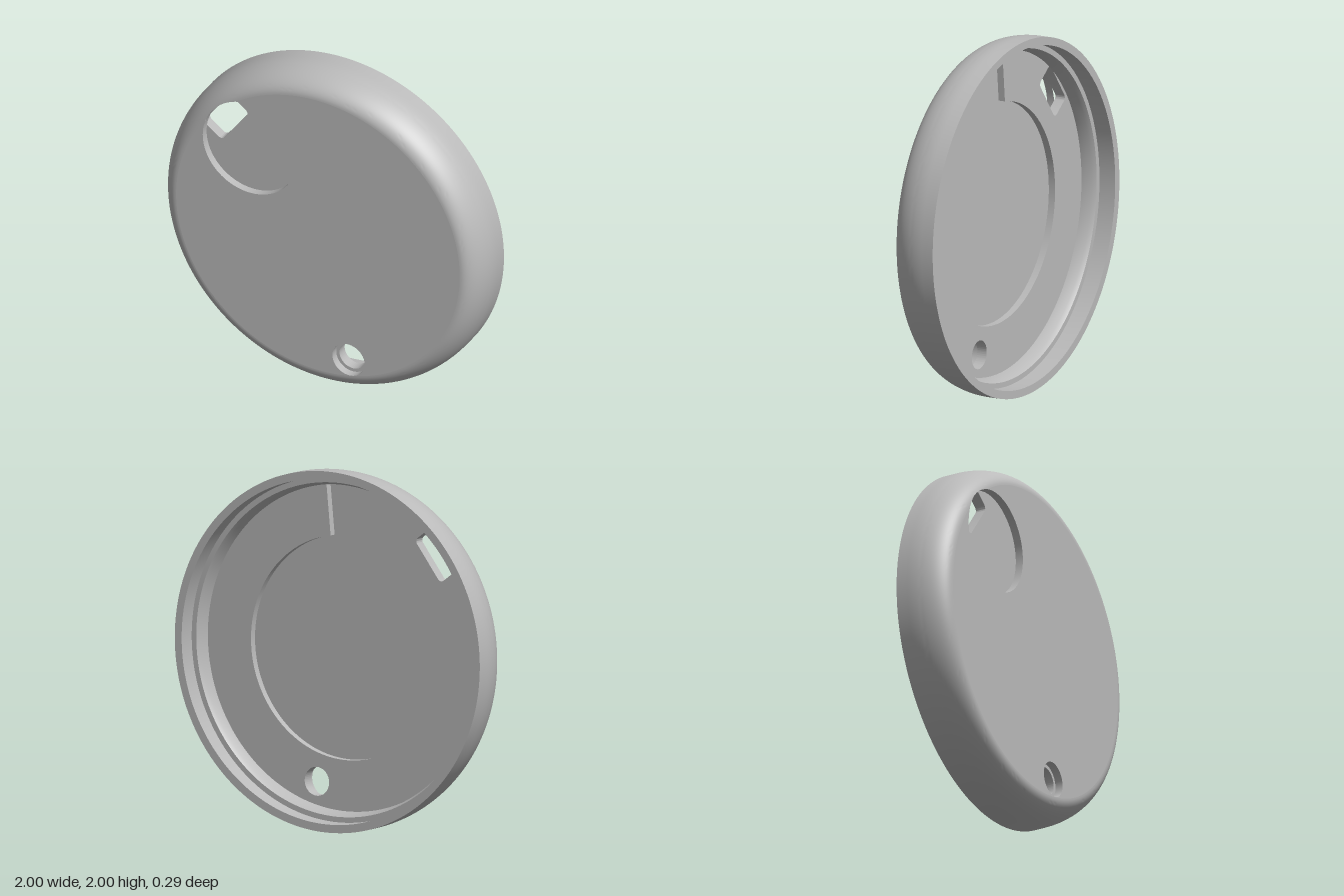
import * as THREE from 'three';
import { toCreasedNormals } from 'three/addons/utils/BufferGeometryUtils.js';

// Disc is modelled around the z axis, then lifted so it stands on y = 0
const FLAT = 0.88, FRONT = 0.145, BACK = -0.145;
const EDGE_A = 0.12, EDGE_B = 0.22;            // rounded edge: radial and axial semi-axes
const POCKET_Z = 0.10, RECESS_Z = 0.08, FLOOR_Z = 0.04;
const pocket = { x: -0.425, y: 0.44, r: 0.29 };
const bore = { x: 0.19, y: -0.755, r: 0.1, inner: 0.08 };

// Where the round pocket runs over the border of the flat front
const D = Math.hypot(pocket.x, pocket.y);
const theta = Math.atan2(pocket.y, pocket.x);
const alpha = Math.acos((D * D + FLAT * FLAT - pocket.r ** 2) / (2 * D * FLAT));
const beta = Math.acos((FLAT * FLAT - D * D - pocket.r ** 2) / (2 * D * pocket.r));

// Height of the front surface at radius r
function frontZ(r) {
  const t = Math.min(Math.max((r - FLAT) / EDGE_A, 0), 1);
  return FRONT - EDGE_B + EDGE_B * Math.sqrt(1 - t * t);
}

// Innermost radius of the rounded edge in a given direction
function edgeStart(angle) {
  const d = Math.atan2(Math.sin(angle - theta), Math.cos(angle - theta));
  if (Math.abs(d) >= alpha) return FLAT;
  return D * Math.cos(d) + Math.sqrt(pocket.r ** 2 - (D * Math.sin(d)) ** 2);
}

function circle(x, y, r, Type = THREE.Path) {
  const p = new Type();
  p.absarc(x, y, r, 0, Math.PI * 2, false);
  return p;
}

function lathe(points, segments) {
  const g = new THREE.LatheGeometry(points.map(([r, z]) => new THREE.Vector2(r, z)), segments);
  return g.rotateX(Math.PI / 2);
}

// Tilted window slot with rounded corners
function slot() {
  const w = 0.28, h = 0.145, r = 0.025;
  const s = new THREE.Path();
  s.absarc(w - r, r, r, -Math.PI / 2, 0, false);
  s.absarc(w - r, h - r, r, 0, Math.PI / 2, false);
  s.absarc(r, h - r, r, Math.PI / 2, Math.PI, false);
  s.absarc(r, r, r, Math.PI, Math.PI * 1.5, false);
  return new THREE.Path(s.getPoints(8).map((p) =>
    new THREE.Vector2(-0.62 + 0.6 * p.x - 0.8 * p.y, 0.41 + 0.8 * p.x + 0.6 * p.y)));
}

// Round recess with a channel running to the top
function keyhole() {
  const r = 0.622, p = new THREE.Path();
  p.absarc(0, 0, r, Math.acos(-0.085 / r), Math.acos(0.1 / r) + Math.PI * 2, false);
  p.lineTo(0.127, 0.895);
  p.lineTo(-0.058, 0.9);
  p.closePath();
  return p;
}

// Flat disc layer with cut-outs
function layer(z0, z1, holes) {
  const s = circle(0, 0, 0.935, THREE.Shape);
  s.holes.push(...holes);
  const g = new THREE.ExtrudeGeometry(s, { depth: z1 - z0, bevelEnabled: false, curveSegments: 96 });
  return toCreasedNormals(g.translate(0, 0, z0), 0.5);
}

// Inward-facing wall of a round opening in the front
function wall(c) {
  const g = lathe([[c.r, FRONT], [c.r, POCKET_Z]], 128).translate(c.x, c.y, 0);
  const p = g.attributes.position;
  for (let i = 0; i < p.count; i++) {
    if (p.getZ(i) > POCKET_Z + 0.01) p.setZ(i, frontZ(Math.hypot(p.getX(i), p.getY(i))));
  }
  return g;
}

// Stepped inner wall, rim and rounded outer edge in one profile
function shell() {
  const pts = [[0.905, FLOOR_Z], [0.912, -0.02], [0.925, -0.045], [0.955, -0.045],
    [0.955, BACK], [1, BACK]];
  for (let i = 0; i <= 20; i++) {
    const a = (i / 20) * Math.PI / 2;
    pts.push([FLAT + EDGE_A * Math.cos(a), FRONT - EDGE_B + EDGE_B * Math.sin(a)]);
  }
  const g = lathe(pts, 256);
  const p = g.attributes.position;
  for (let i = 0; i < p.count; i++) {
    const x = p.getX(i), y = p.getY(i), r = Math.hypot(x, y);
    const r0 = edgeStart(Math.atan2(y, x));
    if (p.getZ(i) > POCKET_Z && r < r0) p.setXYZ(i, x * r0 / r, y * r0 / r, frontZ(r0));
  }
  return toCreasedNormals(g, 0.5);
}

// Flat front, cut by the pocket and the counterbore
function frontFace() {
  const s = new THREE.Shape();
  s.absarc(0, 0, FLAT, theta + alpha, theta - alpha + Math.PI * 2, false);
  s.absarc(pocket.x, pocket.y, pocket.r, theta - beta, theta + beta, true);
  s.holes.push(circle(bore.x, bore.y, bore.r));
  return new THREE.ShapeGeometry(s, 128).translate(0, 0, FRONT);
}

export function createModel() {
  const grey = new THREE.MeshStandardMaterial({ color: 0xbababa });
  grey.name = 'light grey';
  const model = new THREE.Group();
  model.name = 'roundCover';
  const add = (name, geometry) => {
    const m = new THREE.Mesh(geometry, grey);
    m.name = name;
    m.position.y = 1;
    model.add(m);
  };
  const boreHole = () => circle(bore.x, bore.y, bore.inner);

  add('outerShell', shell());
  add('frontFace', frontFace());
  add('pocketWall', wall(pocket));
  add('counterboreWall', wall(bore));
  add('middlePlate', layer(RECESS_Z, POCKET_Z, [slot(), boreHole()]));
  add('backFloor', layer(FLOOR_Z, RECESS_Z, [keyhole(), slot(), boreHole()]));
  return model;
}
